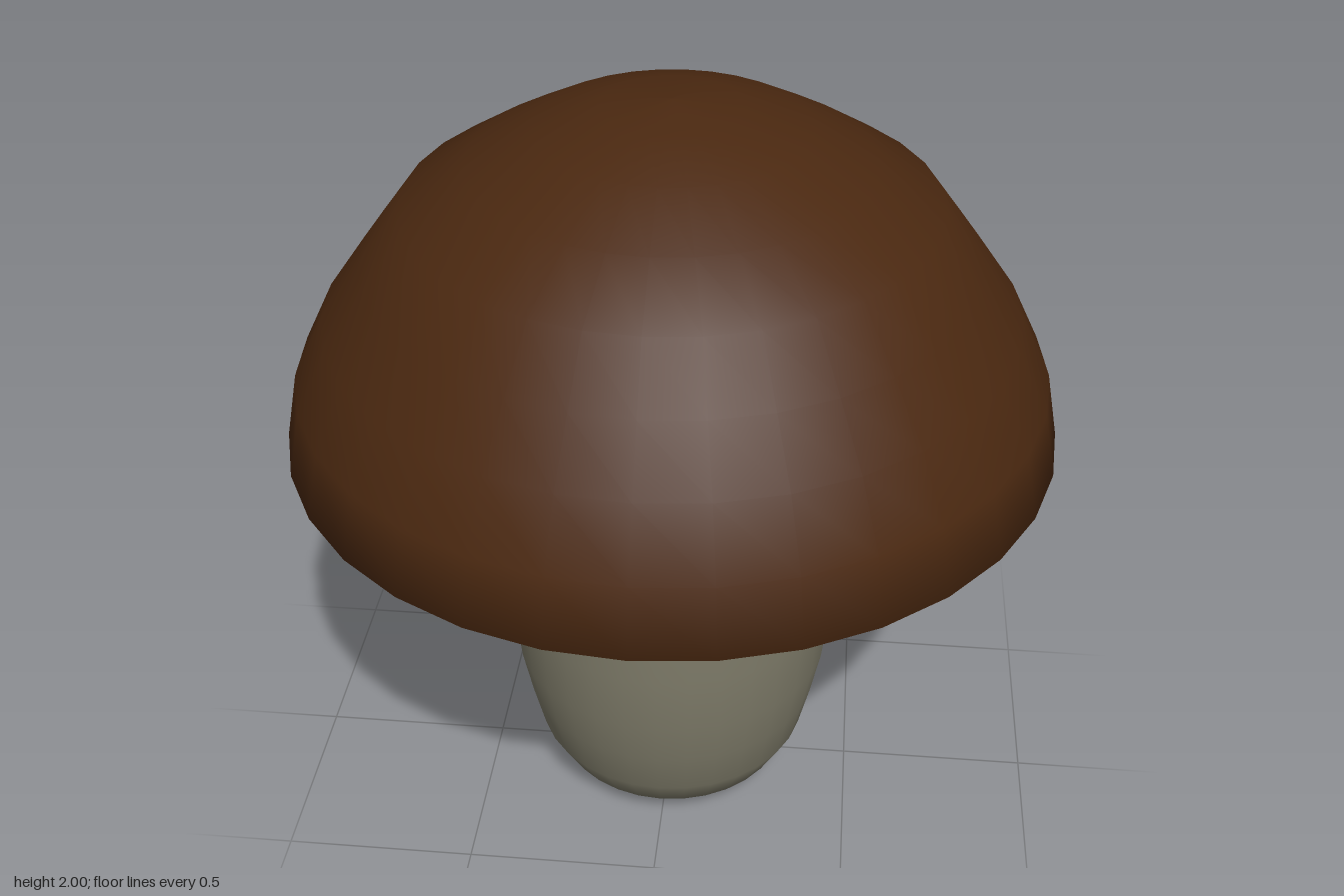
import * as THREE from 'three';

const SEGMENTS = 32;

// Smooth round part turned from [radius, height] pairs, listed bottom to top on the outside
function turned(name, profile, color) {
  const points = profile.map(([r, y]) => new THREE.Vector2(r, y));
  const mesh = new THREE.Mesh(
    new THREE.LatheGeometry(points, SEGMENTS),
    new THREE.MeshStandardMaterial({ color })
  );
  mesh.name = name;
  return mesh;
}

export function createModel() {
  const group = new THREE.Group();
  group.name = 'mushroom';

  // Stem: rounded foot, slight belly, tapering up inside the hollow cap
  group.add(turned('stem', [
    [0, 0], [0.18, 0.03], [0.32, 0.08], [0.37, 0.17], [0.4, 0.3],
    [0.425, 0.43], [0.435, 0.6], [0.43, 0.8], [0.42, 1], [0.415, 1.15],
    [0.385, 1.36], [0.33, 1.57], [0.25, 1.7], [0, 1.75],
  ], 0x7d7a68));

  // Cap: hollow shell, from the inner crown down to the rim and up over the outside
  group.add(turned('cap', [
    [0, 1.88], [0.16, 1.87], [0.3, 1.82], [0.44, 1.74], [0.57, 1.65],
    [0.67, 1.53], [0.76, 1.4], [0.83, 1.27], [0.87, 1.135],
    [0.97, 1.14], [0.935, 1.31], [0.855, 1.47], [0.755, 1.61], [0.65, 1.75],
    [0.49, 1.85], [0.33, 1.935], [0.17, 1.985], [0, 2],
  ], 0x4a2810));

  return group;
}
